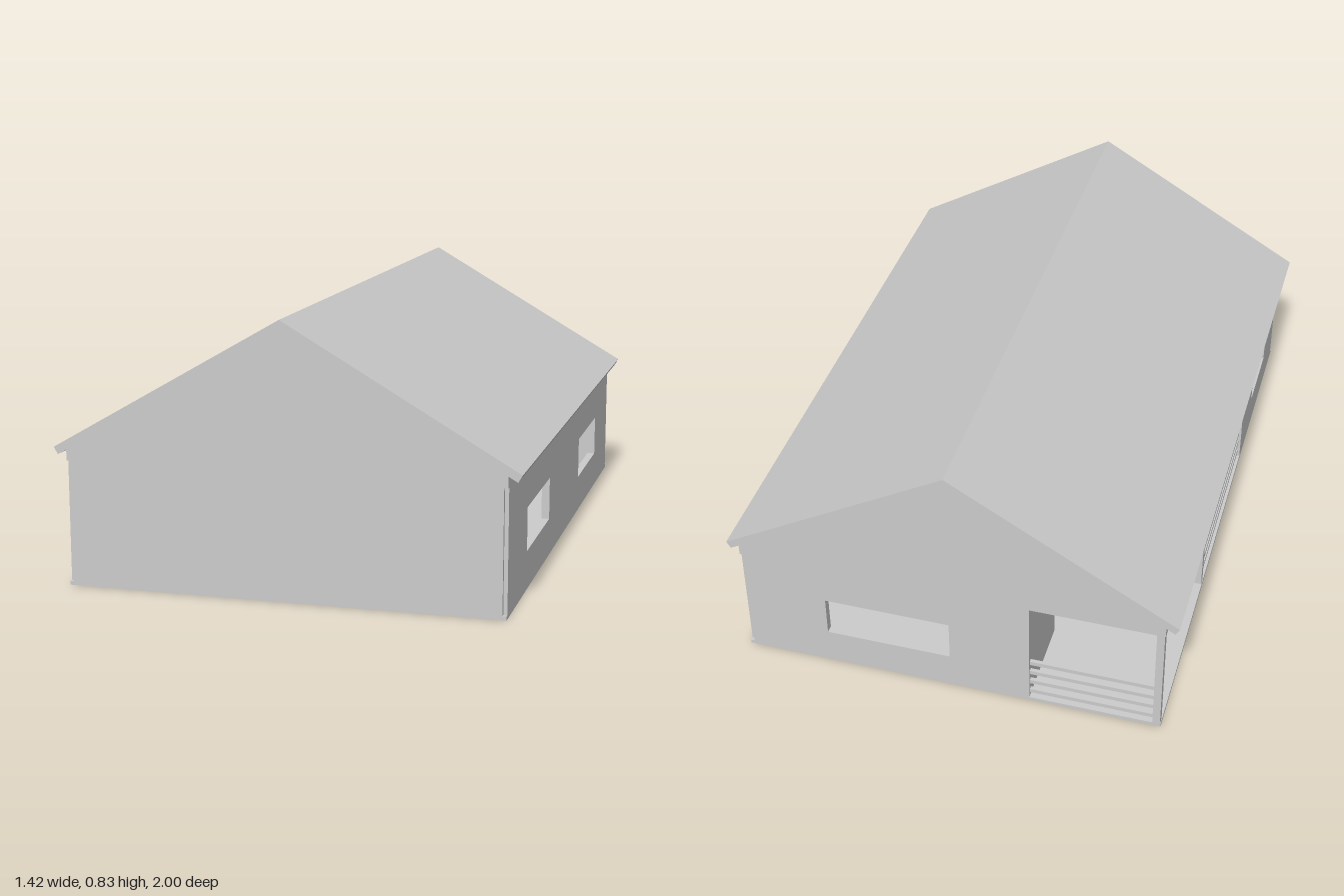
import * as THREE from 'three';

const FLOOR = 0.012, CEILING = 0.385;
const material = new THREE.MeshStandardMaterial({ color: 0xcccccc, flatShading: true });

export function createModel() {
  const house = new THREE.Group();
  house.name = 'house';

  const add = (name, geometry) => {
    const mesh = new THREE.Mesh(geometry, material);
    mesh.name = name;
    house.add(mesh);
    return mesh;
  };

  // Box given by its lower and upper corners
  const block = (name, [x0, y0, z0], [x1, y1, z1]) => {
    add(name, new THREE.BoxGeometry(x1 - x0, y1 - y0, z1 - z0))
      .position.set((x0 + x1) / 2, (y0 + y1) / 2, (z0 + z1) / 2);
  };

  // Upright panel with rectangular holes [from, to, bottom, top]
  const panel = (from, to, holes, thickness, bottom = FLOOR) => {
    const rectangle = (path, a, b, c, d) =>
      path.moveTo(a, c).lineTo(b, c).lineTo(b, d).lineTo(a, d).closePath();
    const shape = new THREE.Shape();
    rectangle(shape, from, to, bottom, CEILING);
    for (const hole of holes) {
      const path = new THREE.Path();
      rectangle(path, ...hole);
      shape.holes.push(path);
    }
    return new THREE.ExtrudeGeometry(shape, { depth: thickness, bevelEnabled: false });
  };

  // Wall along x, growing towards +z from z
  const wallX = (name, z, from, to, holes = [], thickness = 0.025) => {
    add(name, panel(from, to, holes, thickness)).position.z = z;
  };

  // Wall along z, growing towards -x from x
  const wallZ = (name, x, from, to, holes = [], bottom = FLOOR) => {
    add(name, panel(from, to, holes, 0.025, bottom).rotateY(-Math.PI / 2)).position.x = x;
  };

  // Floor slab
  block('floor', [-0.67, 0, -1], [0.67, FLOOR, 1]);

  // Outer walls, stopping short of each other to leave small corner notches
  wallX('frontWall', 0.975, -0.658, 0.658);
  wallX('backWall', -1, -0.255, 0.658, [[0, 0.4, 0.12, 0.255]]);
  wallZ('windowWall', 0.67, -0.988, 0.988,
    [[0.3, 0.69, 0.12, 0.255], [-0.69, -0.3, 0.12, 0.255]]);
  wallZ('porchSideWall', -0.645, 0.327, 0.988, [[0.53, 0.79, 0.12, 0.255]]);

  // Walls enclosing the corner porch, with its doorway
  wallZ('porchInnerWall', -0.23, -0.99, 0.34, [[-0.7, -0.59, 0.005, 0.35]], 0.002);
  wallX('porchEndWall', 0.326, -0.66, -0.24, [], 0.016);

  // Porch posts
  for (const z of [-0.988, -0.352]) {
    block('porchPost', [-0.668, FLOOR, z - 0.012], [-0.644, CEILING, z + 0.012]);
  }

  // Porch rails
  for (let i = 0; i < 4; i++) {
    const y = 0.035 + i * 0.04;
    block('backRail', [-0.65, y - 0.007, -0.994], [-0.25, y + 0.007, -0.982]);
    block('sideRail', [-0.662, y - 0.007, -0.345], [-0.65, y + 0.007, 0.33]);
  }

  // Solid gabled roof with flat ceiling and overhanging eaves
  const right = [[0.67, CEILING], [0.67, 0.419], [0.6975, 0.403], [0.71, 0.425]];
  const left = right.map(([x, y]) => [-x, y]).reverse();
  const profile = [...right, [0, 0.835], ...left].map(([x, y]) => new THREE.Vector2(x, y));
  add('roof', new THREE.ExtrudeGeometry(new THREE.Shape(profile), { depth: 2, bevelEnabled: false }))
    .position.z = -1;

  return house;
}
